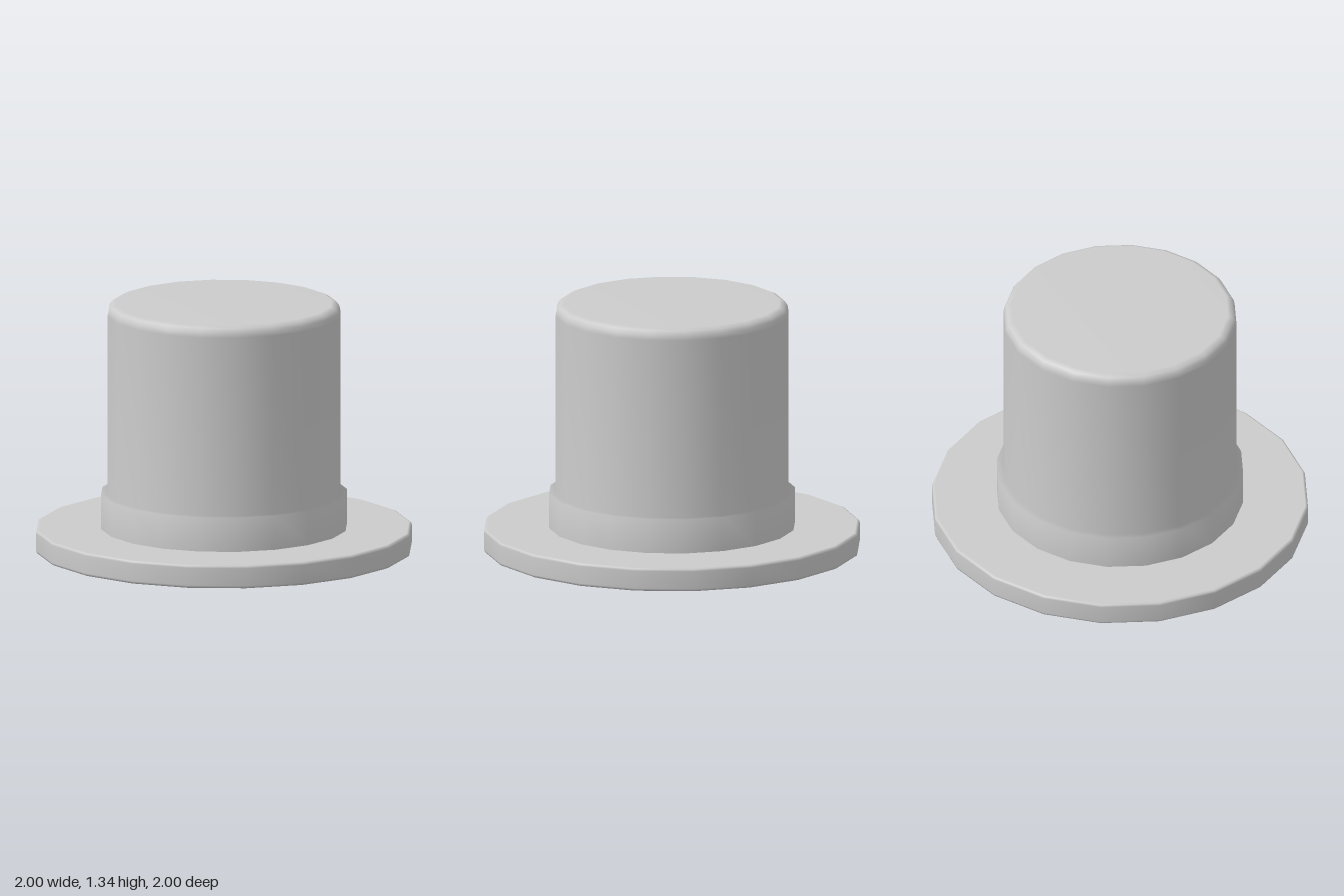
import * as THREE from 'three';

const SIDES = 20;

// Turns a bottom-to-top profile of [radius, height] pairs around the y axis.
function turned(name, profile, material) {
  const points = profile.map(([r, y]) => new THREE.Vector2(r, y));
  const mesh = new THREE.Mesh(new THREE.LatheGeometry(points, SIDES), material);
  mesh.name = name;
  return mesh;
}

export function createModel() {
  const hat = new THREE.Group();
  hat.name = 'topHat';
  const material = new THREE.MeshStandardMaterial({ color: 0xcccccc });

  // Flat disc brim with slightly eased edges
  hat.add(turned('brim', [
    [0, 0], [0.985, 0], [0.996, 0.005], [1, 0.016],
    [1, 0.11], [0.996, 0.121], [0.985, 0.126], [0, 0.126],
  ], material));

  // Crown rising from the wider hat band, with a rounded top edge
  hat.add(turned('crownAndBand', [
    [0.655, 0.12], [0.655, 0.31], [0.62, 0.31],
    [0.62, 1.275], [0.615, 1.302], [0.602, 1.322], [0.575, 1.335], [0, 1.335],
  ], material));

  return hat;
}
